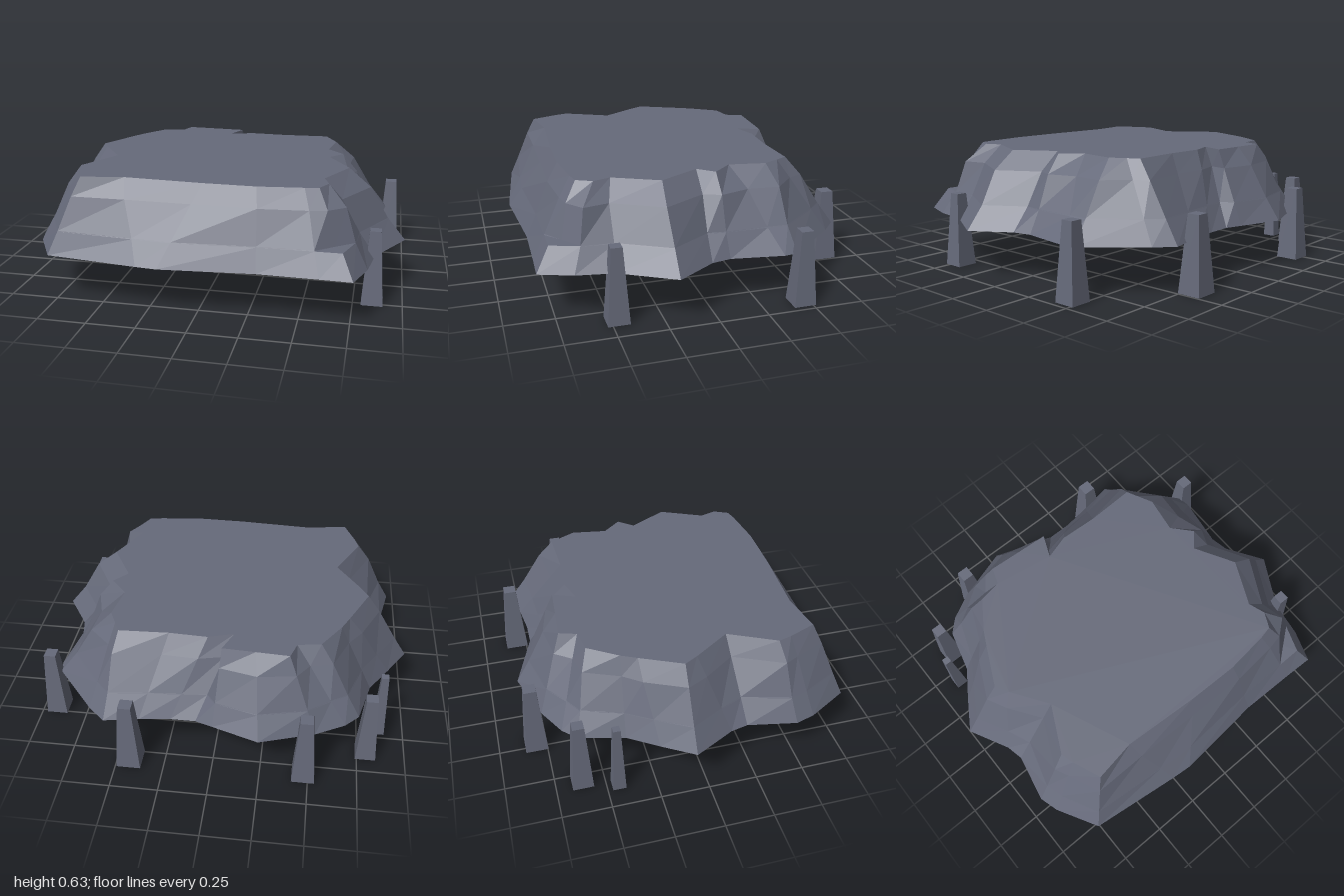
import * as THREE from 'three';

const stone = new THREE.MeshStandardMaterial({ color: 0x666a7a, flatShading: true, side: THREE.DoubleSide });
stone.name = 'slate stone';

const LOW = 0.25, HIGH = 0.63;

// Rim pairs running clockwise seen from above: bottom x, z, then top x, z
const rim = [
  [-1, -0.07, -0.76, -0.07], [-0.9, -0.23, -0.66, -0.28], [-0.8, -0.38, -0.62, -0.36],
  [-0.74, -0.61, -0.52, -0.51], [-0.67, -0.68, -0.4, -0.53], [-0.52, -0.76, -0.37, -0.62],
  [-0.24, -0.85, -0.2, -0.61], [0.0, -0.77, -0.03, -0.6], [0.09, -0.74, -0.08, -0.48],
  [0.22, -0.74, 0.05, -0.52], [0.38, -0.76, 0.25, -0.51], [0.56, -0.79, 0.51, -0.52],
  [0.65, -0.71, 0.54, -0.46], [0.88, -0.44, 0.58, -0.38], [0.89, -0.37, 0.55, -0.19],
  [0.85, -0.1, 0.64, -0.09], [0.87, 0, 0.57, -0.01], [1, 0.2, 0.69, 0.2],
  [0.85, 0.47, 0.58, 0.43], [0.82, 0.66, 0.61, 0.52],
  [0.76, 0.83, 0.57, 0.6], // ledge corner
  [0.6, 0.825, 0.5, 0.615], [0.3, 0.82, 0.27, 0.64], [-0.18, 0.86, 0, 0.635],
  [-0.29, 0.85, -0.41, 0.61], [-0.77, 0.79, -0.63, 0.645], [-0.89, 0.58, -0.69, 0.5],
  [-0.92, 0.48, -0.71, 0.43], [-0.87, 0.23, -0.59, 0.19], [-0.89, 0.14, -0.72, 0],
];
const LEDGE = 20;

// One point of the sloping wall, t from bottom (0) to top (1)
function wallPoint(i, t, ring) {
  const [bx, bz, tx, tz] = rim[i];
  let x = bx + (tx - bx) * t, z = bz + (tz - bz) * t;
  if (i === LEDGE && ring === 2) { x = 0.66; z = 0.69; }
  if (ring === 3 && i !== LEDGE) {
    const bulge = 1.01 + (bx > 0.8 ? 0.04 : 0) + 0.012 * Math.sin(i * 2.4);
    x *= bulge;
    z *= bulge;
  }
  return [x, LOW + (HIGH - LOW) * t, z];
}

function rockShell() {
  const levels = [0, 0.3, 0.31, 0.75, 1], n = rim.length;
  const positions = [], indices = [];
  levels.forEach((t, r) => rim.forEach((_, i) => positions.push(...wallPoint(i, t, r))));
  // Walls
  for (let r = 0; r < levels.length - 1; r++) {
    for (let i = 0; i < n; i++) {
      const j = (i + 1) % n;
      const a = r * n + i, b = r * n + j, c = a + n, d = b + n;
      indices.push(a, c, b, b, c, d);
    }
  }
  // Flat top
  const top = (levels.length - 1) * n;
  const outline = rim.map(p => new THREE.Vector2(p[2], -p[3])).reverse();
  for (const face of THREE.ShapeUtils.triangulateShape(outline, [])) {
    indices.push(...face.map(k => top + n - 1 - k));
  }
  const geometry = new THREE.BufferGeometry();
  geometry.setAttribute('position', new THREE.Float32BufferAttribute(positions, 3));
  geometry.setIndex(indices);
  const flat = geometry.toNonIndexed();
  flat.computeVertexNormals();
  return flat;
}

// Square post tapering towards its top
function taperedPost(bottom, top, height) {
  const geometry = new THREE.BoxGeometry(bottom, height, bottom);
  const p = geometry.attributes.position;
  for (let i = 0; i < p.count; i++) {
    if (p.getY(i) > 0) {
      p.setX(i, p.getX(i) * top / bottom);
      p.setZ(i, p.getZ(i) * top / bottom);
    }
  }
  geometry.translate(0, height / 2, 0);
  geometry.computeVertexNormals();
  return geometry;
}

export function createModel() {
  const model = new THREE.Group();
  model.name = 'rockPlateau';

  const shell = new THREE.Mesh(rockShell(), stone);
  shell.name = 'rockShell';
  model.add(shell);

  // Posts: x, z, bottom width, top width
  const posts = [
    [-0.475, -0.805, 0.118, 0.064], [0.43, -0.805, 0.125, 0.066],
    [-0.795, -0.615, 0.107, 0.058], [-0.865, -0.44, 0.068, 0.037],
    [0.915, -0.457, 0.113, 0.062], [0.847, 0.47, 0.11, 0.056],
  ];
  posts.forEach(([x, z, bottom, top], i) => {
    const post = new THREE.Mesh(taperedPost(bottom, top, 0.39), stone);
    post.name = `post${i + 1}`;
    post.position.set(x, 0, z);
    model.add(post);
  });
  return model;
}
